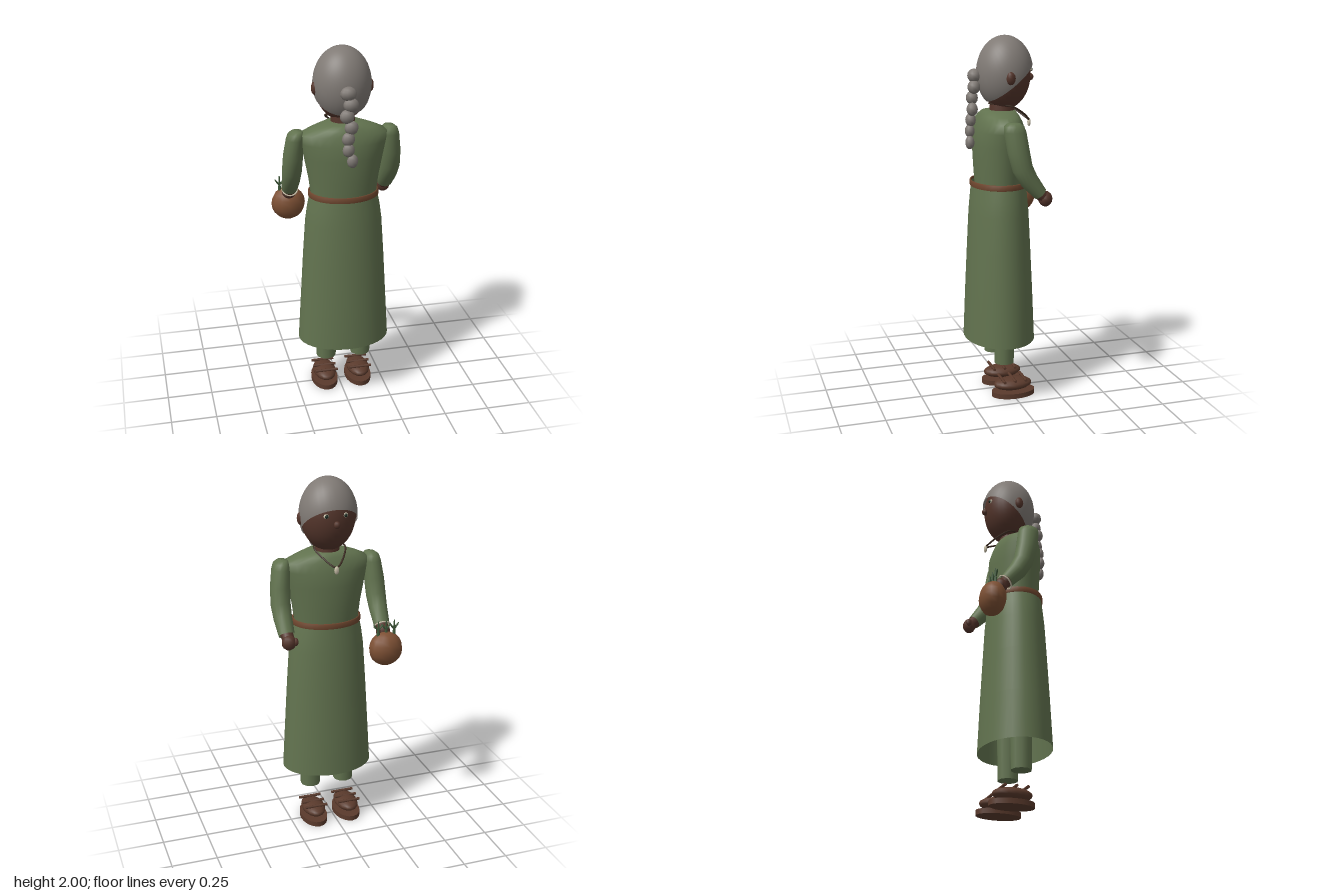
import * as THREE from 'three';

const mat = (color) => new THREE.MeshStandardMaterial({ color, side: THREE.DoubleSide });
const skin = mat(0x54352b), cloth = mat(0x62734f), hairGrey = mat(0x807a75), leather = mat(0x5a3a2c);
const beltBrown = mat(0x70472f), clay = mat(0x7d5034), leaf = mat(0x3f5a3a), bone = mat(0xc8bfa8);
const dark = mat(0x1c2a20), cord = mat(0x3a2a20);
const CX = 0.016, CZ = 0.05; // body axis

function add(parent, name, geometry, material, x = 0, y = 0, z = 0) {
  const m = new THREE.Mesh(geometry, material);
  m.name = name;
  m.position.set(x, y, z);
  parent.add(m);
  return m;
}

function ball(parent, name, material, x, y, z, rx, ry, rz, w = 16, h = 12) {
  const m = add(parent, name, new THREE.SphereGeometry(1, w, h), material, x, y, z);
  m.scale.set(rx, ry, rz);
  return m;
}

// Skin over elliptical rings [x, y, z, rx, rz, tilt], listed from bottom to top
function loft(rings, seg) {
  const pos = [], idx = [];
  rings.forEach(([x, y, z, rx, rz, t = 0], i) => {
    for (let j = 0; j < seg; j++) {
      const a = (j / seg) * Math.PI * 2, s = Math.sin(a) * rz;
      pos.push(x + Math.cos(a) * rx, y - s * Math.sin(t), z + s * Math.cos(t));
      if (i === 0) continue;
      const k = (j + 1) % seg, p = (i - 1) * seg, q = i * seg;
      idx.push(p + j, q + j, p + k, p + k, q + j, q + k);
    }
  });
  const g = new THREE.BufferGeometry();
  g.setAttribute('position', new THREE.Float32BufferAttribute(pos, 3));
  g.setIndex(idx);
  g.computeVertexNormals();
  return g;
}

// Straight rod between two points
function rod(parent, name, material, a, b, r0, r1 = r0, seg = 8) {
  const p = new THREE.Vector3(...a), d = new THREE.Vector3(...b).sub(p);
  const m = add(parent, name, new THREE.CylinderGeometry(r1, r0, d.length(), seg), material);
  m.position.copy(p).addScaledVector(d, 0.5);
  m.quaternion.setFromUnitVectors(new THREE.Vector3(0, 1, 0), d.normalize());
  return m;
}

function buildHead() {
  const g = new THREE.Group();
  g.name = 'head';
  ball(g, 'face', skin, CX, 1.8, 0.015, 0.148, 0.194, 0.14, 32, 20);
  // Hair cap: open sphere tipped backwards, then stretched with the skull
  const cap = new THREE.SphereGeometry(1, 32, 20, 0, Math.PI * 2, 0, 1.85);
  cap.rotateX(0.56).scale(0.156, 0.2, 0.153);
  add(g, 'hair', cap, hairGrey, CX, 1.8, 0.013);
  ball(g, 'nose', skin, CX, 1.775, -0.13, 0.018, 0.02, 0.018, 10, 8);
  for (const s of [-1, 1]) {
    ball(g, 'ear', skin, CX + s * 0.148, 1.785, 0.025, 0.02, 0.036, 0.026, 10, 8);
    ball(g, 'eye', bone, CX + s * 0.052, 1.82, -0.112, 0.015, 0.013, 0.01, 10, 8);
    ball(g, 'iris', dark, CX + s * 0.052, 1.82, -0.118, 0.01, 0.01, 0.008, 10, 8);
  }
  // Braid down the back
  const sway = [0.012, 0.025, 0.003, 0.025, 0.008, 0.008, 0.028];
  sway.forEach((x, i) => {
    const r = 0.044 - i * 0.0023;
    ball(g, 'braidKnot', hairGrey, x, 1.79 - i * 0.059, 0.182 + i * 0.005, r, 0.037, r * 0.8, 10, 8);
  });
  return g;
}

function buildRobe() {
  const g = new THREE.Group();
  g.name = 'robe';
  const rings = (rows) => rows.map(([y, rx, rz]) => [CX, y, CZ, rx, rz]);
  add(g, 'torso', loft(rings([[1.19, 0.178, 0.125], [1.3, 0.192, 0.132], [1.42, 0.215, 0.136], [1.5, 0.232, 0.132],
    [1.55, 0.24, 0.115], [1.58, 0.17, 0.104], [1.603, 0.1, 0.088], [1.606, 0.001, 0.001]]), 28), cloth);
  add(g, 'skirt', loft(rings([[0.33, 0.256, 0.193], [0.6, 0.24, 0.182], [0.85, 0.225, 0.17],
    [1.05, 0.211, 0.16], [1.13, 0.2, 0.153], [1.21, 0.184, 0.146]]), 36), cloth);
  add(g, 'belt', loft(rings([[1.192, 0.186, 0.147], [1.194, 0.193, 0.153], [1.222, 0.193, 0.153],
    [1.224, 0.184, 0.146]]), 36), beltBrown);
  add(g, 'neck', new THREE.CylinderGeometry(0.06, 0.07, 0.12, 16), skin, CX, 1.62, 0.03);
  return g;
}

function buildArm(s) {
  const g = new THREE.Group();
  g.name = s > 0 ? 'leftSideArm' : 'rightSideArm';
  const x = (d) => CX + s * d;
  add(g, 'sleeve', loft([
    [x(0.27), 1.19, -0.098, 0.044, 0.038, 0.76], [x(0.272), 1.265, -0.035, 0.05, 0.05, 0.6],
    [x(0.272), 1.33, 0.001, 0.054, 0.055, 0.35], [x(0.268), 1.42, 0.022, 0.054, 0.059, 0.15],
    [x(0.258), 1.52, 0.037, 0.049, 0.06, 0], [x(0.254), 1.55, 0.041, 0.043, 0.054, 0],
    [x(0.25), 1.565, 0.043, 0.028, 0.035, 0], [x(0.25), 1.568, 0.043, 0.001, 0.001, 0]], 16), cloth);
  rod(g, 'wrist', skin, [x(0.27), 1.21, -0.075], [x(0.267), 1.165, -0.125], 0.036, 0.032, 10);
  ball(g, 'hand', skin, x(0.268), 1.16, -0.128, 0.04, 0.042, 0.037, 10, 8);
  ball(g, 'thumb', skin, x(0.233), 1.165, -0.142, 0.013, 0.022, 0.018, 8, 6);
  return g;
}

function buildLeg(s) {
  const g = new THREE.Group();
  g.name = s > 0 ? 'leftSideLeg' : 'rightSideLeg';
  const x = CX + s * 0.1;
  add(g, 'trouser', new THREE.CylinderGeometry(0.075, 0.056, 0.9, 10), cloth, x, 0.65, 0.048);
  const sole = add(g, 'sole', new THREE.CylinderGeometry(1, 1, 0.028, 20), leather, x, 0.014, -0.005);
  sole.scale.set(0.075, 1, 0.124);
  ball(g, 'shoe', leather, x, 0.066, -0.002, 0.065, 0.036, 0.11, 16, 10);
  for (const z of [-0.062, 0, 0.062]) {
    rod(g, 'shoeStrap', leather, [x - 0.065, 0.098, z], [x + 0.065, 0.098, z], 0.008);
  }
  return g;
}

function buildGourd() {
  const g = new THREE.Group();
  g.name = 'gourd';
  const x = -0.25, z = -0.173;
  ball(g, 'gourdBody', clay, x, 1.075, z, 0.095, 0.095, 0.072, 12, 10);
  // Herb sprigs standing in the top
  for (const d of [-0.047, 0, 0.045]) {
    rod(g, 'sprigStem', leaf, [x + d, 1.13, z], [x + d, 1.235, z - 0.002], 0.011, 0.003, 6);
    for (const s of [-1, 1]) {
      const m = ball(g, 'sprigLeaf', leaf, x + d + s * 0.014, 1.2, z, 0.005, 0.024, 0.006, 6, 6);
      m.rotation.z = -s * 0.6;
    }
  }
  return g;
}

function buildJewellery() {
  const g = new THREE.Group();
  g.name = 'jewellery';
  const v = (x, y, z) => new THREE.Vector3(CX + x, y, z);
  const path = new THREE.CatmullRomCurve3([v(-0.085, 1.63, 0), v(-0.06, 1.59, -0.07),
    v(0, 1.545, -0.122), v(0.06, 1.59, -0.07), v(0.085, 1.63, 0), v(0, 1.64, 0.1)], true);
  add(g, 'necklaceCord', new THREE.TubeGeometry(path, 48, 0.005, 6, true), cord);
  ball(g, 'pendant', bone, CX, 1.53, -0.125, 0.014, 0.022, 0.009, 10, 8);
  const bracelet = add(g, 'bracelet', new THREE.TorusGeometry(0.043, 0.004, 6, 20), bone, -0.252, 1.185, -0.103);
  bracelet.rotation.x = -0.8;
  return g;
}

export function createModel() {
  const model = new THREE.Group();
  model.name = 'robedElder';
  model.add(buildHead(), buildRobe(), buildGourd(), buildJewellery());
  for (const s of [-1, 1]) model.add(buildArm(s), buildLeg(s));
  return model;
}
